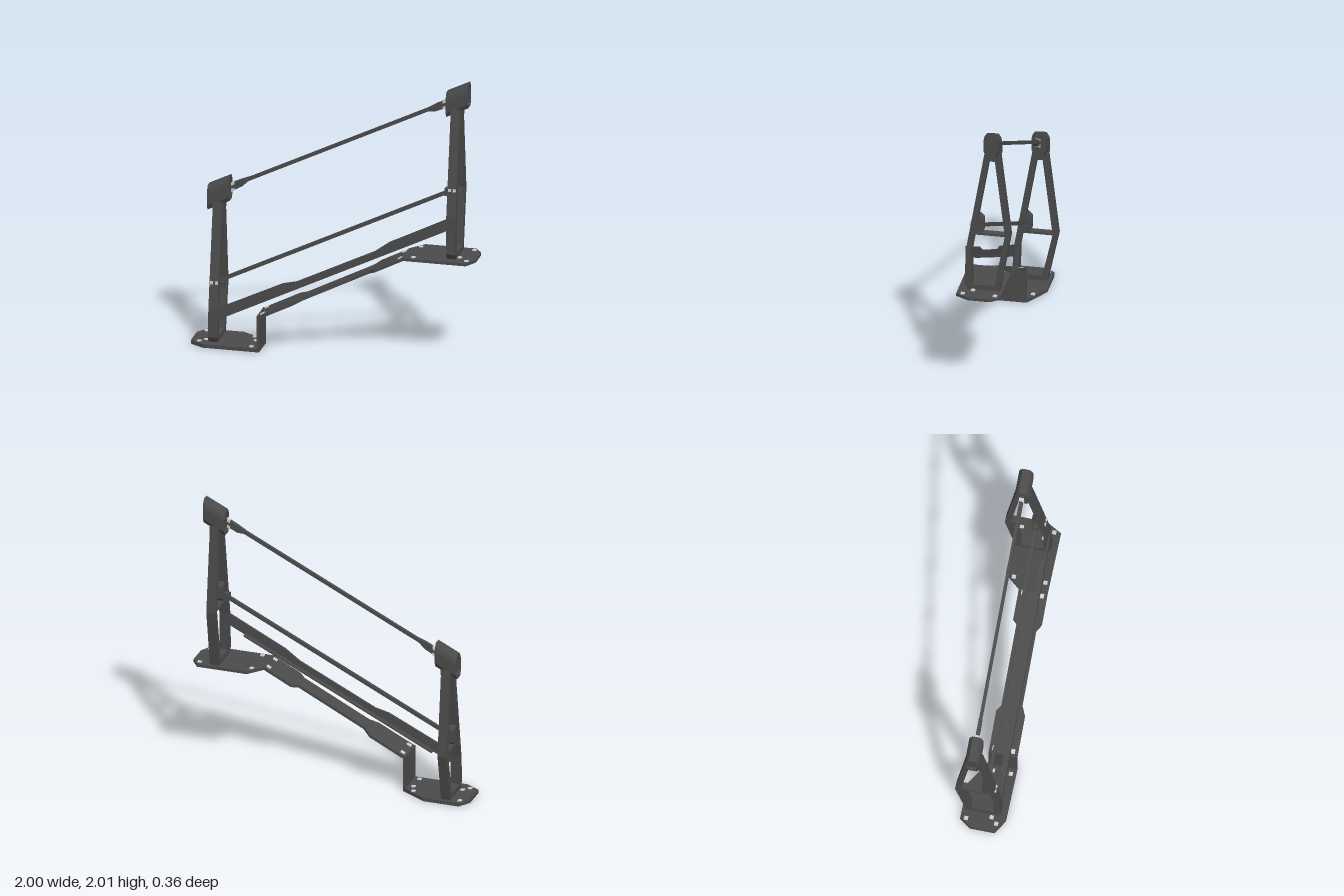
import * as THREE from 'three';

const SLOPE = 0.49;
const steel = new THREE.MeshStandardMaterial({ color: 0x4a4a4a, side: THREE.DoubleSide, flatShading: true });
const boltMat = new THREE.MeshStandardMaterial({ color: 0xcccccc });

const toShape = (pts) => new THREE.Shape(pts.map(([a, b]) => new THREE.Vector2(a, b)));
const flat = { bevelEnabled: false };

// Outline in (z, y), extruded along x from x0
function extrudeX(outline, x0, width, hole) {
  const flip = (pts) => pts.map(([z, y]) => [-z, y]);
  const shape = toShape(flip(outline));
  if (hole) shape.holes.push(toShape(flip(hole)));
  const geo = new THREE.ExtrudeGeometry(shape, { ...flat, depth: width });
  return geo.rotateY(Math.PI / 2).translate(x0, 0, 0);
}

// Outline in (x, z), extruded upwards from y0
function extrudeY(outline, y0, height) {
  const shape = toShape(outline.map(([x, z]) => [x, -z]));
  const geo = new THREE.ExtrudeGeometry(shape, { ...flat, depth: height });
  return geo.rotateX(-Math.PI / 2).translate(0, y0, 0);
}

// Outline in (x, y), extruded forwards from z0
function extrudeZ(outline, z0, depth) {
  return new THREE.ExtrudeGeometry(toShape(outline), { ...flat, depth }).translate(0, 0, z0);
}

function box(w, h, d, x, y, z) {
  return new THREE.BoxGeometry(w, h, d).translate(x, y, z);
}

// Lift every vertex along the stair slope
function shear(geo, slope = SLOPE) {
  const p = geo.attributes.position;
  for (let i = 0; i < p.count; i++) p.setY(i, p.getY(i) + slope * p.getX(i));
  geo.computeVertexNormals();
  return geo;
}

export function createModel() {
  const model = new THREE.Group();
  model.name = 'stairRailing';
  const add = (name, geo, mat = steel, parent = model) => {
    const mesh = new THREE.Mesh(geo, mat);
    mesh.name = name;
    parent.add(mesh);
    return mesh;
  };

  // Foot plates
  add('lowerFootPlate', extrudeY([
    [-1, -0.05], [-0.945, -0.13], [-0.69, -0.13], [-0.505, -0.02],
    [-0.505, 0.18], [-0.9, 0.18], [-1, 0.12]], 0, 0.025));
  add('upperFootPlate', extrudeY([
    [1, -0.06], [0.95, -0.13], [0.59, -0.13], [0.5, -0.02],
    [0.5, 0.18], [0.95, 0.18], [1, 0.09]], 0.757, 0.02));

  // Riser and sloping stringer, narrow in the middle
  add('riser', box(0.018, 0.26, 0.2, -0.514, 0.13, 0.08));
  add('stringer', shear(extrudeY([
    [-0.523, -0.02], [-0.26, -0.02], [-0.2, 0.03], [0.27, 0.03], [0.31, -0.02], [0.505, -0.02],
    [0.505, 0.18], [0.31, 0.18], [0.27, 0.15], [-0.2, 0.15], [-0.26, 0.18], [-0.523, 0.18]],
    0.498, 0.022), 0.507));

  // Two post frames with their fittings: s = side, b = foot height, t = top height
  for (const { name, s, b, t } of [
    { name: 'lowerPost', s: -1, b: 0.025, t: 1.0 },
    { name: 'upperPost', s: 1, b: 0.777, t: 1.82 }]) {
    const post = new THREE.Group();
    post.name = name;
    model.add(post);
    const cx = s < 0 ? -0.842 : 0.833;
    const knee = t - 0.62, bend = t - 0.74;

    // Bent ring frame
    add('postFrame', extrudeX(
      [[0.115, b], [0.14, b + 0.04], [0.128, bend], [0, t], [-0.105, t], [-0.18, knee], [-0.105, b]],
      cx - 0.0325, 0.065,
      [[0.09, b + 0.036], [0.088, bend], [-0.032, t - 0.05], [-0.072, t - 0.05],
        [-0.142, knee], [-0.07, b + 0.036]]), steel, post);
    add('crossBar', box(0.05, 0.016, 0.23, cx, knee, -0.045), steel, post);

    // Clamp holding the middle rail
    const my = SLOPE * cx + 0.85;
    add('railClampPlate', extrudeX(
      [[0.1, my - 0.06], [0.03, my - 0.06], [0.005, my - 0.03],
        [0.005, my + 0.06], [0.035, my + 0.09], [0.07, my + 0.06]],
      cx - 0.022, 0.044), steel, post);
    add('railClamp', box(0.05, 0.055, 0.04, cx - s * 0.035, my - 0.02, 0.04), steel, post);
    for (const dx of [-0.017, 0.017])
      add('clampBolt', box(0.02, 0.02, 0.02, cx + dx, my + 0.01, 0.094), boltMat, post);

    // Handrail head: hollow cap with a recessed core
    const scale = (k) => [[0.025, 0.088], [0.043, 0.06], [0.05, 0.03], [0.05, -0.055], [0.033, -0.088],
      [-0.033, -0.088], [-0.05, -0.055], [-0.05, 0.03], [-0.043, 0.06], [-0.025, 0.088]]
      .map(([z, y]) => [z * k - 0.054, y * k + 1.47]);
    const hx = s * 0.84;
    add('headCap', shear(extrudeX(scale(1), hx - 0.0775, 0.155, scale(0.8))), steel, post);
    add('headCore', shear(extrudeX(scale(0.8), hx - 0.06, 0.12)), steel, post);
    add('headCollar', box(0.085, 0.06, 0.07, cx, t - 0.02, -0.054), steel, post);

    // Flared bracket between head and handrail
    add('handrailBracket', shear(extrudeZ(
      [[0.77, 1.5], [0.77, 1.443], [0.68, 1.447], [0.625, 1.472], [0.625, 1.493], [0.69, 1.5]]
        .map(([x, y]) => [s * x, y]), -0.066, 0.026)), steel, post);
    for (const dy of [-0.022, 0.022])
      add('bracketBolt', shear(box(0.022, 0.02, 0.034, s * 0.745, 1.472 + dy, -0.053)), boltMat, post);
  }

  // Long rails
  add('handrail', shear(box(1.5, 0.026, 0.022, 0, 1.48, -0.053)));
  add('middleRail', shear(box(1.64, 0.028, 0.022, 0, 0.85, 0.04)));

  // Toe board, taller at both ends, with a lower flange
  add('toeBoard', shear(extrudeZ([
    [-0.835, 0.59], [0.845, 0.59], [0.845, 0.675], [0.4, 0.67], [0.3, 0.645],
    [-0.25, 0.645], [-0.35, 0.67], [-0.835, 0.675]], 0.122, 0.014)));
  add('toeBoardFlange', shear(box(1.36, 0.012, 0.035, 0.01, 0.595, 0.108)));

  // Plate bolts: x, top height, z
  for (const [x, y, z] of [
    [-0.565, 0.025, 0.02], [-0.565, 0.025, 0.145], [-0.59, 0.025, -0.05], [-0.9, 0.025, 0.08],
    [-0.94, 0.025, -0.09], [-0.94, 0.025, 0.12], [0.575, 0.777, 0.15], [0.575, 0.777, -0.07],
    [0.885, 0.777, 0.075], [0.945, 0.777, 0.135], [0.945, 0.777, -0.09]])
    add('plateBolt', box(0.028, 0.012, 0.028, x, y, z), boltMat);
  for (const x of [-0.49, 0.48])
    for (const z of [0.015, 0.145])
      add('stringerBolt', shear(box(0.028, 0.012, 0.028, x, 0.52, z), 0.507), boltMat);

  return model;
}
